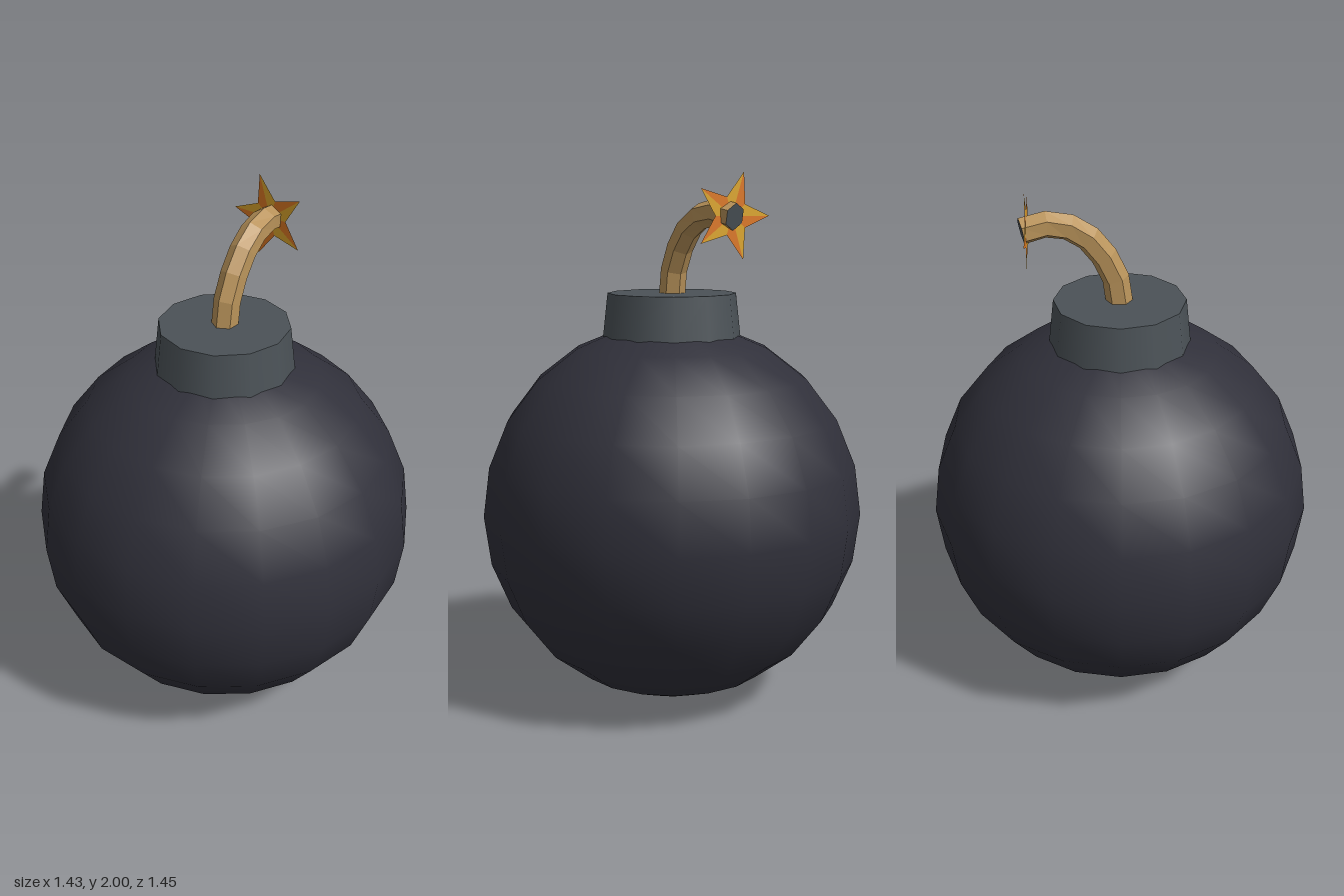
import * as THREE from 'three';

const mat = (name, color, extra = {}) => {
  const m = new THREE.MeshStandardMaterial({ color, ...extra });
  m.name = name;
  return m;
};

export function createModel() {
  const shell = mat('charcoal shell', 0x30303a);
  const metal = mat('grey metal', 0x4b5257);
  const rope = mat('tan rope', 0xb9935a, { flatShading: true });
  const yellow = mat('spark yellow', 0xdca62c, { side: THREE.DoubleSide });
  const orange = mat('spark orange', 0xdc7824, { side: THREE.DoubleSide });

  const group = new THREE.Group();
  const add = (name, geometry, material) => {
    const mesh = new THREE.Mesh(geometry, material);
    mesh.name = name;
    group.add(mesh);
    return mesh;
  };

  // Round body, with a vertex column facing front
  const ball = new THREE.SphereGeometry(0.724, 18, 12).rotateY(Math.PI / 2);
  add('body', ball, shell).position.y = 0.728;

  // Tapered neck
  add('neck', new THREE.CylinderGeometry(0.242, 0.262, 0.18, 12), metal).position.y = 1.47;

  // Fuse: a six-sided cylinder bent along a curve, with a burnt grey end
  const curve = new THREE.CatmullRomCurve3([
    [0, 1.54, 0], [0.015, 1.645, 0], [0.055, 1.73, -0.002], [0.11, 1.8, -0.006],
    [0.18, 1.845, -0.014], [0.26, 1.86, -0.027], [0.343, 1.843, -0.048],
  ].map((p) => new THREE.Vector3(...p)));
  const fuse = new THREE.CylinderGeometry(0.049, 0.049, 1, 6, 6).rotateY(Math.PI / 2);
  const pos = fuse.attributes.position;
  const zAxis = new THREE.Vector3(0, 0, 1);
  for (let i = 0; i < pos.count; i++) {
    const t = THREE.MathUtils.clamp(pos.getY(i) + 0.5, 0, 1);
    const tangent = curve.getTangent(t);
    const n = new THREE.Vector3().crossVectors(tangent, zAxis).normalize();
    const b = new THREE.Vector3().crossVectors(n, tangent);
    const p = curve.getPoint(t).addScaledVector(n, pos.getX(i)).addScaledVector(b, pos.getZ(i));
    pos.setXYZ(i, p.x, p.y, p.z);
  }
  fuse.computeVertexNormals();
  add('fuse', fuse, [rope, metal, rope]);

  // Flat five-pointed spark; each point is half yellow, half orange
  const point = (k) => {
    const a = (k * Math.PI) / 5;
    const r = k % 2 ? 0.07 : 0.162;
    return [0, r * Math.sin(a), -r * Math.cos(a)];
  };
  const starHalf = (offset) => {
    const verts = [];
    for (let k = offset; k < 10; k += 2) verts.push(0, 0, 0, ...point(k), ...point(k + 1));
    const g = new THREE.BufferGeometry();
    g.setAttribute('position', new THREE.Float32BufferAttribute(verts, 3));
    g.computeVertexNormals();
    return g;
  };
  add('sparkYellow', starHalf(0), yellow).position.set(0.325, 1.846, -0.048);
  add('sparkOrange', starHalf(1), orange).position.set(0.325, 1.846, -0.048);

  return group;
}
